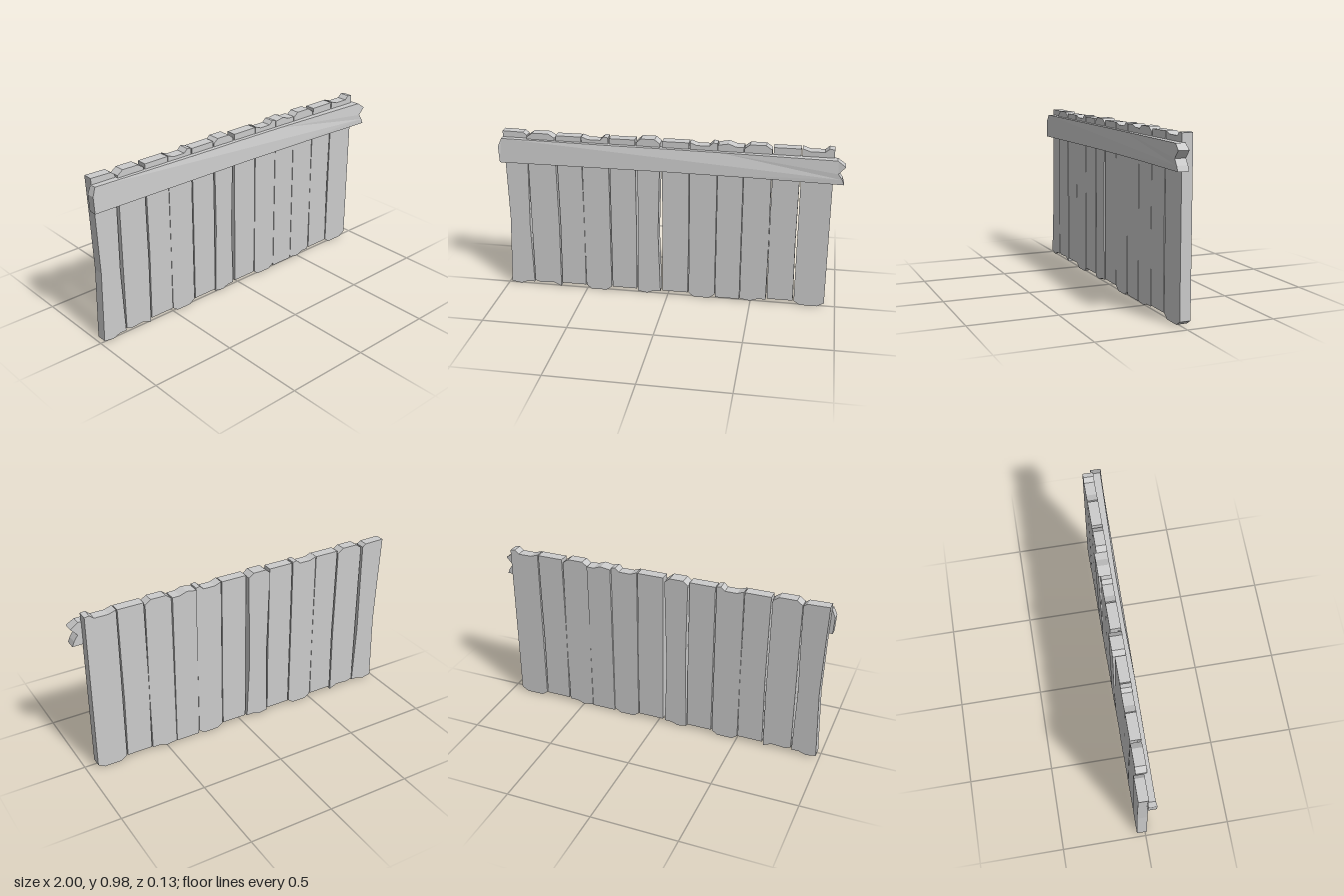
import * as THREE from 'three';

const { lerp } = THREE.MathUtils;
const material = new THREE.MeshStandardMaterial({ color: 0xcccccc, flatShading: true, side: THREE.DoubleSide });

// Extrudes a front outline to unit depth, then places each vertex in z by a rule
function board(name, outline, zAt) {
  const shape = new THREE.Shape(outline.map(([x, y]) => new THREE.Vector2(x, y)));
  const geometry = new THREE.ExtrudeGeometry(shape, { depth: 1, bevelEnabled: false });
  const p = geometry.attributes.position;
  for (let i = 0; i < p.count; i++) p.setZ(i, zAt(p.getX(i), p.getY(i), p.getZ(i)));
  geometry.computeVertexNormals();
  const mesh = new THREE.Mesh(geometry, material);
  mesh.name = name;
  return mesh;
}

// Worn plank ends: [fraction across, depth worn away]
const ends = {
  cut: [[0, 0.008], [1, 0.008]],
  short: [[0, 0.025], [1, 0.025]],
  rounded: [[0, 0.024], [0.2, 0], [0.78, 0], [1, 0.024]],
  dished: [[0, 0.006], [0.25, 0.021], [0.7, 0.021], [0.84, 0], [1, 0.004]],
  corner: [[0, 0], [0.85, 0.003], [1, 0.02]],
  split: [[0, 0.012], [0.4, 0.002], [0.7, 0.018], [1, 0.018]],
  ragged: [[0, 0.03], [0.2, 0.018], [0.7, 0.024], [1, 0.002]],
};

// Each plank: side positions, end wear, bow of each side at mid height, and lean of its top toward the back
const planks = [
  { x0: -0.98, x1: -0.835, top: 'corner', bottom: 'split', left: 0.015, right: -0.01, leanBack: 0.013, leanFront: 0.018 },
  { x0: -0.83, x1: -0.665, top: 'rounded', bottom: 'ragged', right: 0.005 },
  { x0: -0.657, x1: -0.508, top: 'cut', bottom: 'short', left: 0.006, right: 0.003 },
  { x0: -0.504, x1: -0.347, top: 'dished', bottom: 'rounded' },
  { x0: -0.34, x1: -0.19, top: 'cut', bottom: 'short', right: 0.003 },
  { x0: -0.184, x1: -0.045, top: 'rounded', bottom: 'split', left: 0.01, right: -0.013, leanBack: 0.012 },
  { x0: -0.032, x1: 0.122, top: 'cut', bottom: 'short', right: 0.003 },
  { x0: 0.128, x1: 0.285, top: 'dished', bottom: 'rounded' },
  { x0: 0.288, x1: 0.434, top: 'split', bottom: 'cut', leanBack: 0.012 },
  { x0: 0.437, x1: 0.592, top: 'rounded', bottom: 'split', right: 0.003 },
  { x0: 0.6, x1: 0.752, top: 'cut', bottom: 'short', left: -0.004, right: -0.004 },
  { x0: 0.758, x1: 0.936, top: 'dished', bottom: 'rounded' },
];

function plank({ x0, x1, top, bottom, left = 0, right = 0, leanBack = 0, leanFront = 0 }, i) {
  const outline = [
    ...ends[bottom].map(([t, worn]) => [lerp(x0, x1, t), worn]),
    [x1 + right, 0.4], [x1 + right * 0.4, 0.7],
    ...ends[top].map(([t, worn]) => [lerp(x0, x1, t), 0.983 - worn]).reverse(),
    [x0 + left * 0.5, 0.75], [x0 + left, 0.43],
  ];
  return board(`plank${i + 1}`, outline, (x, y, t) => lerp(-0.05 - leanBack * y, 0.011 - leanFront * y, t));
}

// Cross rail: jagged ends and a worn upper front edge; it swings forward toward +x
function rail() {
  const outline = [
    [-0.995, 0.802], [0, 0.806], [0.5, 0.803], [0.997, 0.796],
    [0.985, 0.825], [0.962, 0.858], [1, 0.9], [0.955, 0.932],
    [0.3, 0.936], [0.1, 0.938], [-0.3, 0.942], [-0.98, 0.947], [-1, 0.9],
  ];
  return board('crossRail', outline, (x, y, t) => {
    const along = (x + 1) / 2;
    const wear = y > 0.92 ? 0.008 + 0.012 * Math.exp(-(((x - 0.2) / 0.25) ** 2)) : 0;
    return lerp(lerp(-0.012, 0.002, along), lerp(0.036, 0.064, along) - wear, t);
  });
}

export function createModel() {
  const group = new THREE.Group();
  group.name = 'woodenFence';
  const wall = new THREE.Group();
  wall.name = 'planks';
  planks.forEach((p, i) => wall.add(plank(p, i)));
  group.add(wall, rail());
  return group;
}
